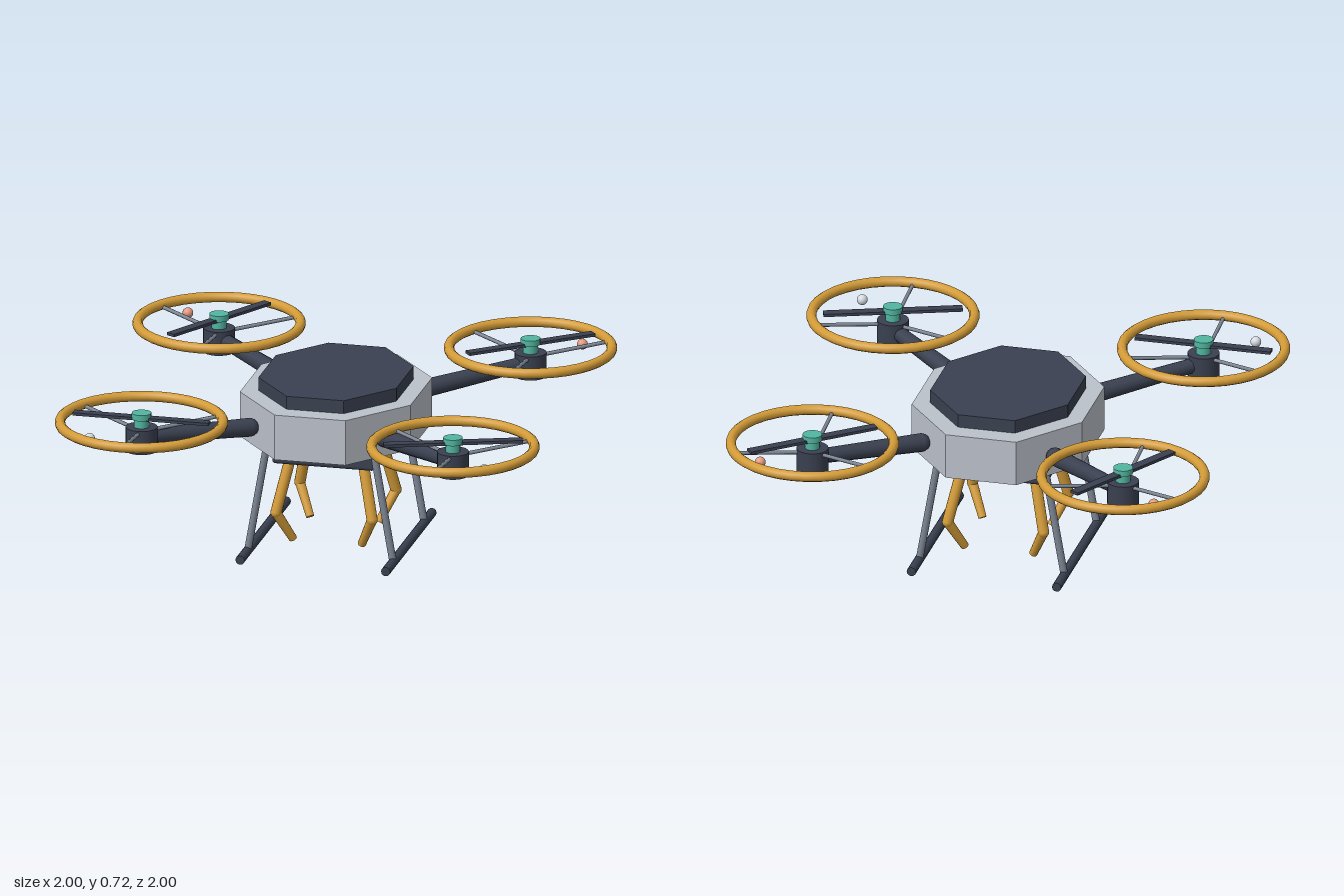
import * as THREE from 'three';
import { RoundedBoxGeometry } from 'three/addons/geometries/RoundedBoxGeometry.js';

const paint = (name, color, flatShading = false) => {
  const m = new THREE.MeshStandardMaterial({ color, flatShading });
  m.name = name;
  return m;
};

export function createModel() {
  const shell = paint('light grey shell', 0xbcc2cb);
  const dark = paint('dark slate', 0x3a4050);
  const gold = paint('amber', 0xd49c38);
  const teal = paint('teal', 0x52b5a0);
  const steel = paint('steel grey', 0x7d8694);
  const salmon = paint('salmon light', 0xe39a80);
  const white = paint('white light', 0xd4d9e0);

  const model = new THREE.Group();
  model.name = 'quadcopter';
  const V = (x, y, z) => new THREE.Vector3(x, y, z);

  const add = (parent, name, geometry, material, x = 0, y = 0, z = 0) => {
    const mesh = new THREE.Mesh(geometry, material);
    mesh.name = name;
    mesh.position.set(x, y, z);
    parent.add(mesh);
    return mesh;
  };

  // Round bar between two points, optionally tapered
  const bar = (parent, name, a, b, r0, r1, material, sides = 12) => {
    const mesh = add(parent, name, new THREE.CylinderGeometry(r1, r0, a.distanceTo(b), sides), material);
    mesh.position.copy(a).add(b).multiplyScalar(0.5);
    mesh.quaternion.setFromUnitVectors(V(0, 1, 0), b.clone().sub(a).normalize());
    return mesh;
  };

  // Eight-sided slab with half widths hx, hz
  const octagon = (name, hx, hz, y0, y1, material) => {
    const g = new THREE.CylinderGeometry(1, 1, y1 - y0, 8).rotateY(Math.PI / 8);
    const k = 1 / Math.cos(Math.PI / 8);
    g.scale(hx * k, 1, hz * k);
    const flat = g.toNonIndexed();
    flat.computeVertexNormals();
    return add(model, name, flat, material, 0, (y0 + y1) / 2, 0);
  };

  // Body
  octagon('body', 0.355, 0.435, 0.475, 0.665, shell);
  octagon('lid', 0.287, 0.35, 0.665, 0.72, dark);
  add(model, 'payloadMount', new THREE.CylinderGeometry(0.14, 0.14, 0.03, 20), dark, 0, 0.465, 0);
  add(model, 'payloadBox', new RoundedBoxGeometry(0.43, 0.08, 0.43, 2, 0.015), dark, 0, 0.42, 0);

  // Rotor units: side signs and blade angle in degrees
  const rotors = [[-1, -1, 60], [1, -1, 40], [-1, 1, 0], [1, 1, 20]];
  for (const [sx, sz, angle] of rotors) {
    const root = V(sx * 0.28, 0.565, sz * 0.32);
    bar(model, 'arm', root, V(sx * 0.645, 0.602, sz * 0.645), 0.038, 0.03, dark);
    add(model, 'armRoot', new THREE.SphereGeometry(0.038, 16, 10), dark, root.x, root.y, root.z);

    const unit = new THREE.Group();
    unit.name = 'rotorUnit';
    unit.position.set(sx * 0.648, 0, sz * 0.648);
    model.add(unit);
    add(unit, 'motor', new THREE.CylinderGeometry(0.065, 0.065, 0.1, 18), dark, 0, 0.595, 0);
    add(unit, 'rotorHub', new THREE.CylinderGeometry(0.03, 0.03, 0.04, 16), teal, 0, 0.66, 0);
    add(unit, 'hubCap', new THREE.CylinderGeometry(0.04, 0.04, 0.025, 16), teal, 0, 0.692, 0);
    const blade = add(unit, 'blade', new THREE.BoxGeometry(0.565, 0.012, 0.04), dark, 0, 0.682, 0);
    blade.rotation.y = THREE.MathUtils.degToRad(angle);
    add(unit, 'guardRing', new THREE.TorusGeometry(0.33, 0.021, 10, 36).rotateX(Math.PI / 2), gold, 0, 0.664, 0);

    // Guard spokes
    for (const deg of [90, 210, 330]) {
      const a = THREE.MathUtils.degToRad(deg), c = Math.cos(a), s = Math.sin(a);
      bar(unit, 'guardSpoke', V(c * 0.05, 0.63, s * 0.05), V(c * 0.33, 0.66, s * 0.33), 0.008, 0.008, steel, 8);
    }
    // Navigation light
    add(unit, 'navigationLight', new THREE.SphereGeometry(0.022, 14, 10), sz < 0 ? salmon : white,
      sx * 0.173, 0.637, sz * 0.173);
  }

  // Landing gear
  for (const sx of [-1, 1]) {
    bar(model, 'skid', V(sx * 0.303, 0.019, -0.388), V(sx * 0.303, 0.019, 0.388), 0.019, 0.019, dark);
    for (const z of [-0.26, 0.26])
      bar(model, 'landingStrut', V(sx * 0.222, 0.48, z), V(sx * 0.302, 0.02, z), 0.015, 0.015, steel, 10);
  }

  // Gripper claws on the four diagonals
  for (const sx of [-1, 1]) for (const sz of [-1, 1]) {
    const p = (d, y) => V(sx * d, y, sz * d);
    bar(model, 'clawUpper', p(0.152, 0.39), p(0.2, 0.17), 0.023, 0.023, gold);
    add(model, 'clawKnuckle', new THREE.SphereGeometry(0.023, 12, 8), gold, sx * 0.2, 0.17, sz * 0.2);
    bar(model, 'clawTip', p(0.2, 0.17), p(0.143, 0.045), 0.021, 0.017, gold);
  }

  return model;
}
